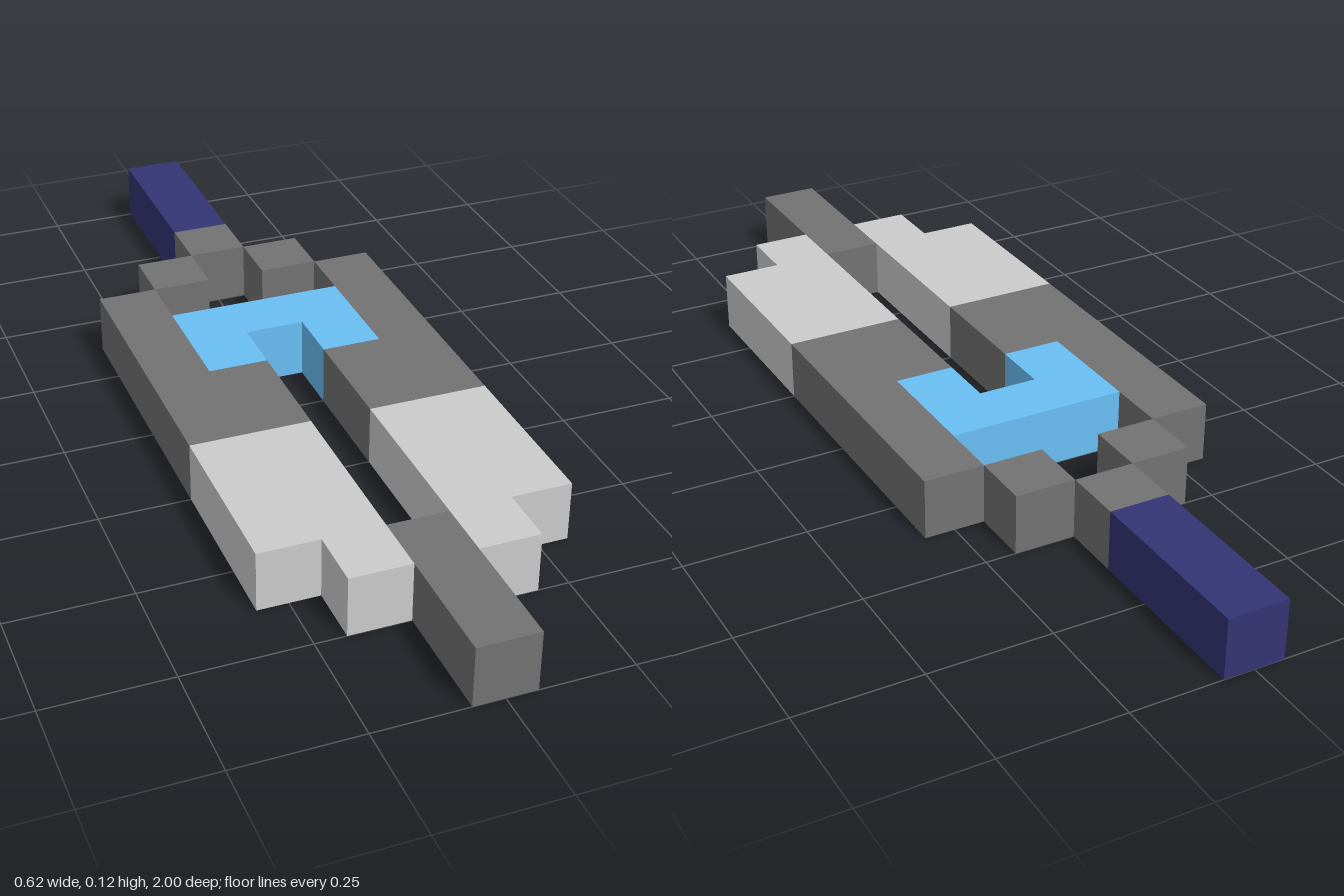
import * as THREE from 'three';

const U = 0.125; // one block; every part is one block thick

const paint = (color) => new THREE.MeshStandardMaterial({ color, flatShading: true });
const light = paint(0xcccccc);
const dark = paint(0x727272);
const blue = paint(0x69bef4);
const navy = paint(0x343475);

// Flat slab from a plan outline of [x, z] corners, in blocks
function slab(name, material, outline) {
  const shape = new THREE.Shape(outline.map(([x, z]) => new THREE.Vector2(x * U, z * U)));
  const geometry = new THREE.ExtrudeGeometry(shape, { depth: U, bevelEnabled: false });
  geometry.rotateX(Math.PI / 2).translate(0, U, 0);
  const mesh = new THREE.Mesh(geometry, material);
  mesh.name = name;
  return mesh;
}

// Rectangular plan outline
const rect = (x0, x1, z0, z1) => [[x0, z0], [x1, z0], [x1, z1], [x0, z1]];

export function createModel() {
  const model = new THREE.Group();
  model.name = 'blade';

  // Parts on the centre line
  model.add(
    slab('frontTip', dark, rect(-0.5, 0.5, 5, 8)),
    slab('collar', dark, rect(-0.5, 0.5, -5, -4)),
    slab('handle', navy, rect(-0.5, 0.5, -8, -5)),
    slab('core', blue, [
      [-1.5, -2], [1.5, -2], [1.5, 0], [0.5, 0],
      [0.5, -1], [-0.5, -1], [-0.5, 0], [-1.5, 0],
    ]),
  );

  // Parts mirrored to both sides
  const pairs = [
    ['Link', dark, rect(0.5, 1.5, -4, -3)],
    ['Rail', dark, [[1.5, -3], [2.5, -3], [2.5, 2], [0.5, 2], [0.5, 0], [1.5, 0]]],
    ['Prong', light, [[0.5, 2], [2.5, 2], [2.5, 5], [1.5, 5], [1.5, 6], [0.5, 6]]],
  ];
  for (const [side, s] of [['left', 1], ['right', -1]]) {
    for (const [part, material, outline] of pairs) {
      model.add(slab(side + part, material, outline.map(([x, z]) => [s * x, z])));
    }
  }
  return model;
}
